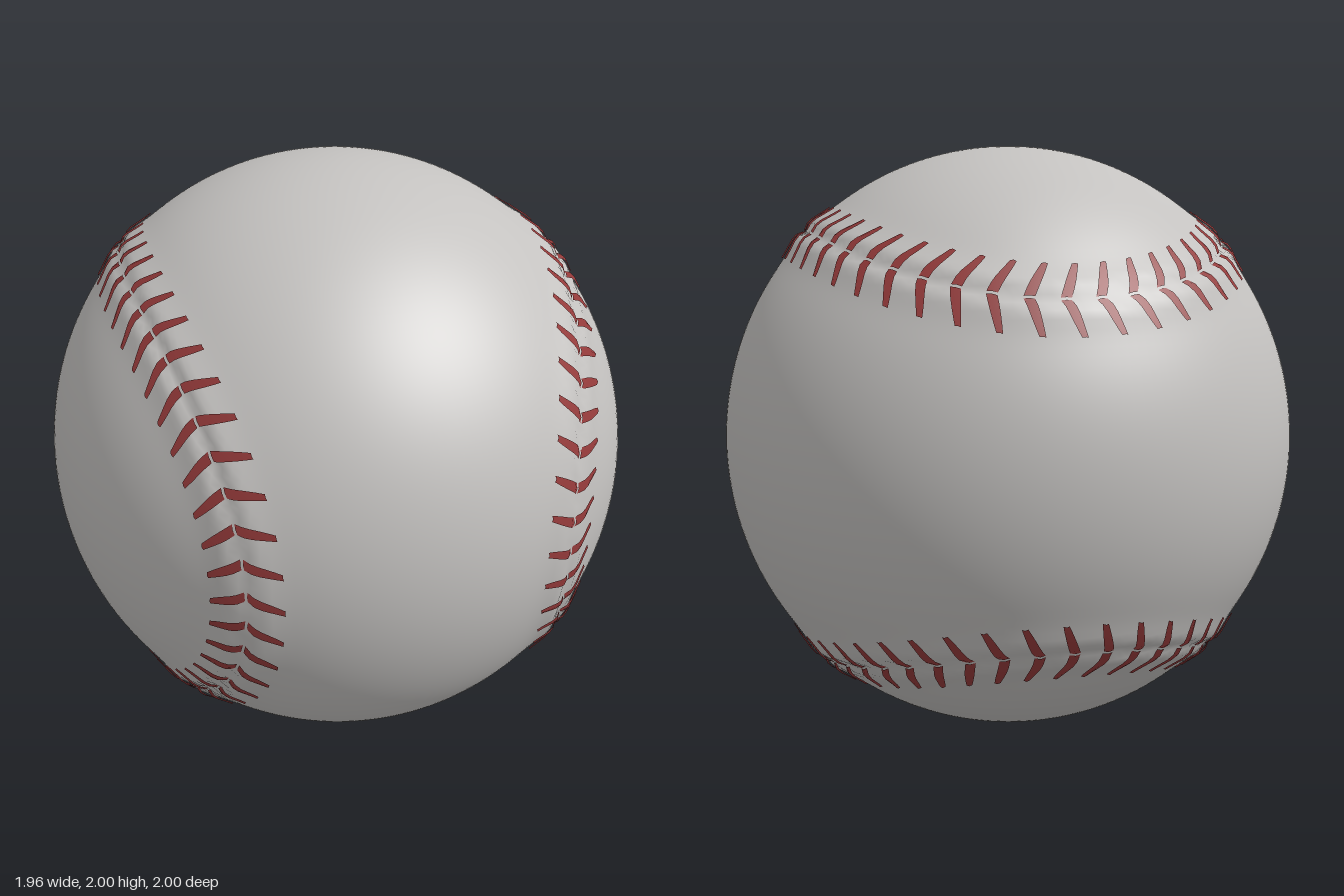
import * as THREE from 'three';
import { mergeVertices } from 'three/addons/utils/BufferGeometryUtils.js';

const A = 0.755, B = 0.245, C = 2 * Math.sqrt(A * B);
const STITCHES = 96;

// Closed seam lying exactly on the unit sphere, winding round the z axis
class SeamCurve extends THREE.Curve {
  getPoint(u, target = new THREE.Vector3()) {
    const t = u * Math.PI * 2;
    return target.set(
      A * Math.cos(t) - B * Math.cos(3 * t),
      A * Math.sin(t) + B * Math.sin(3 * t),
      C * Math.cos(2 * t));
  }
}

const seam = new SeamCurve();
seam.arcLengthDivisions = 800;
const samples = seam.getPoints(480);

// Point on the leather in a given direction: a low welt with a fine groove along the seam
function onLeather(dir, lift = 0) {
  const n = dir.clone().normalize();
  let d2 = 4;
  for (const s of samples) d2 = Math.min(d2, n.distanceToSquared(s));
  const r = 1 + 0.018 * Math.exp(-d2 / 0.0064) - 0.016 * Math.exp(-d2 / 0.0005);
  n.multiplyScalar(r + lift);
  n.x *= 0.978;
  return n;
}

function makeLeather() {
  let g = new THREE.SphereGeometry(1, 192, 120);
  g.deleteAttribute('uv');
  g.deleteAttribute('normal');
  g = mergeVertices(g, 1e-5);
  const p = g.attributes.position, v = new THREE.Vector3();
  for (let i = 0; i < p.count; i++) {
    const q = onLeather(v.fromBufferAttribute(p, i));
    p.setXYZ(i, q.x, q.y, q.z);
  }
  g.computeVertexNormals();
  return g;
}

// Every stitch is a chevron of two slightly domed, tapering arms
function makeStitches() {
  const pos = [], index = [], rows = 6;
  for (let k = 0; k < STITCHES; k++) {
    const u = k / STITCHES;
    const centre = seam.getPointAt(u), along = seam.getTangentAt(u);
    const across = new THREE.Vector3().crossVectors(centre, along).normalize();
    for (const side of [-1, 1]) {
      const base = pos.length / 3;
      for (let i = 0; i < rows; i++) {
        const f = i / (rows - 1);
        const out = side * (0.004 + 0.112 * f);
        const shift = -0.018 + 0.042 * f;
        const half = 0.0165 - 0.007 * f * f;
        for (let j = -1; j <= 1; j++) {
          const dir = centre.clone()
            .addScaledVector(across, out)
            .addScaledVector(along, shift + j * half);
          const q = onLeather(dir, j === 0 ? 0.008 : 0.004);
          pos.push(q.x, q.y, q.z);
        }
      }
      for (let i = 0; i < rows - 1; i++) for (let j = 0; j < 2; j++) {
        const a = base + i * 3 + j, b = a + 1, c = a + 3, d = a + 4;
        if (side > 0) index.push(a, b, c, b, d, c);
        else index.push(a, c, b, b, c, d);
      }
    }
  }
  const g = new THREE.BufferGeometry();
  g.setAttribute('position', new THREE.Float32BufferAttribute(pos, 3));
  g.setIndex(index);
  // Normals follow the ball so the thread shades evenly with the leather
  const normals = [];
  const n = new THREE.Vector3();
  for (let i = 0; i < pos.length; i += 3) {
    n.set(pos[i], pos[i + 1], pos[i + 2]).normalize();
    normals.push(n.x, n.y, n.z);
  }
  g.setAttribute('normal', new THREE.Float32BufferAttribute(normals, 3));
  return g;
}

export function createModel() {
  const leather = new THREE.MeshStandardMaterial({ color: 0xc4c2c0 });
  leather.name = 'offWhiteLeather';
  const thread = new THREE.MeshStandardMaterial({ color: 0x943a3a });
  thread.name = 'redThread';

  const ball = new THREE.Group();
  ball.name = 'ball';
  const cover = new THREE.Mesh(makeLeather(), leather);
  cover.name = 'leatherCover';
  const stitching = new THREE.Mesh(makeStitches(), thread);
  stitching.name = 'stitching';
  ball.add(cover, stitching);
  ball.position.y = 1;

  const model = new THREE.Group();
  model.name = 'baseball';
  model.add(ball);
  return model;
}
